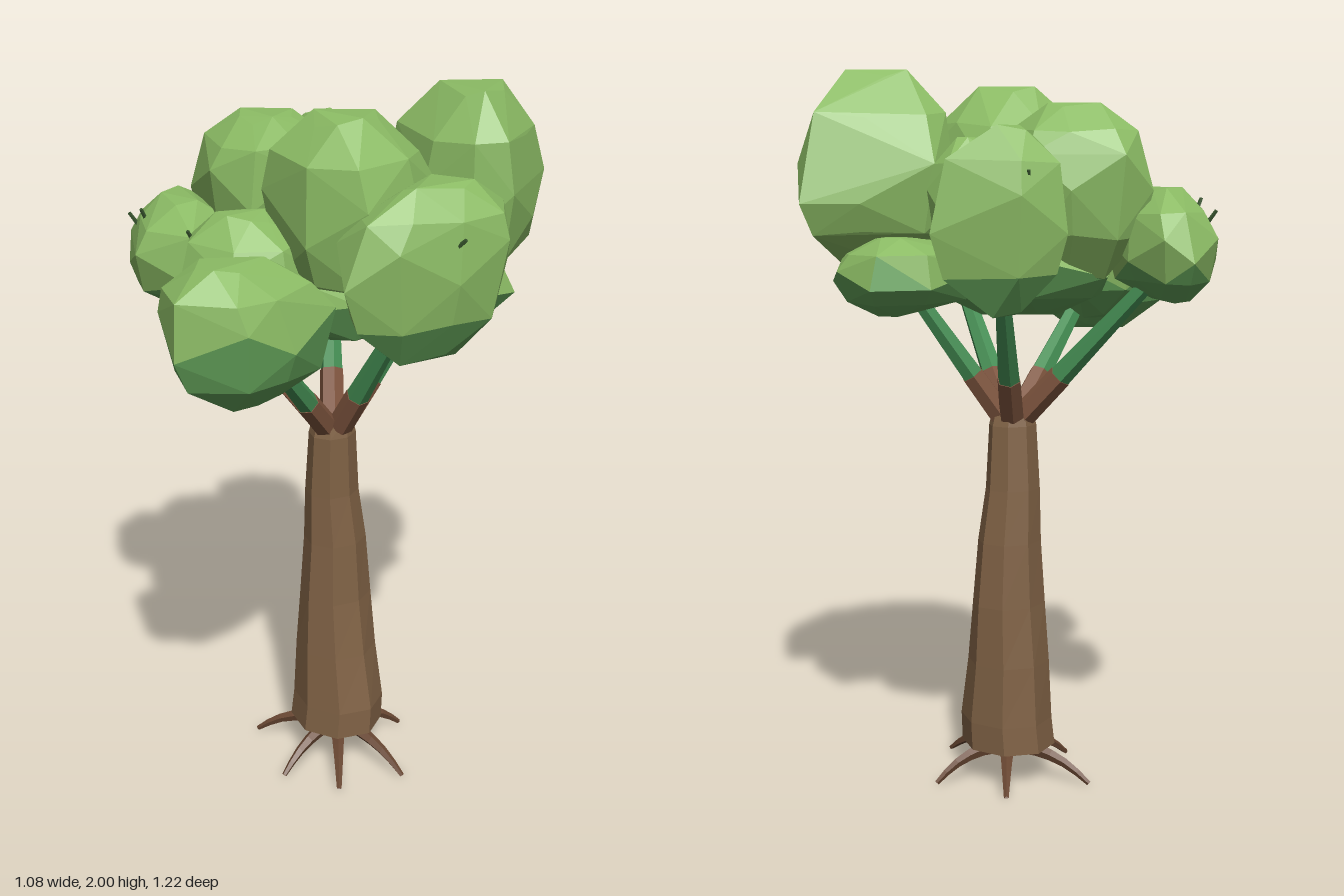
import * as THREE from 'three';
import { ConvexGeometry } from 'three/addons/geometries/ConvexGeometry.js';

const mat = (color) => new THREE.MeshStandardMaterial({ color, flatShading: true, side: THREE.DoubleSide });
const V = (x, y, z) => new THREE.Vector3(x, y, z);

export function createModel() {
  const tree = new THREE.Group();
  tree.name = 'tree';
  const bark = mat(0x806245), collarBark = mat(0x80563f), rootBark = mat(0x6a4833), stem = mat(0x458f54);
  const leafTop = mat(0x8bbb64), leafLow = mat(0x64a35a), twigMat = mat(0x36522c);

  const group = (name) => {
    const g = new THREE.Group();
    g.name = name;
    tree.add(g);
    return g;
  };
  const add = (parent, name, geometry, material) => {
    const mesh = new THREE.Mesh(geometry, material);
    mesh.name = name;
    parent.add(mesh);
    return mesh;
  };

  // Tapered straight limb between two points
  const limb = (parent, name, a, b, ra, rb, material, sides = 6) => {
    const d = b.clone().sub(a);
    const mesh = add(parent, name, new THREE.CylinderGeometry(rb, ra, d.length(), sides), material);
    mesh.position.copy(a).addScaledVector(d, 0.5);
    mesh.quaternion.setFromUnitVectors(V(0, 1, 0), d.normalize());
  };

  // Trunk: rings of [y, centre x, centre z, radius x, radius z]
  const rings = [
    [0.1, 0.035, -0.045, 0.142, 0.128], [0.18, 0.038, -0.05, 0.139, 0.125],
    [0.35, 0.027, -0.05, 0.118, 0.115], [0.52, 0.022, -0.052, 0.098, 0.107],
    [0.7, 0.021, -0.05, 0.086, 0.092], [0.85, 0.017, -0.041, 0.072, 0.08],
    [1.03, 0.022, -0.037, 0.062, 0.07], [1.08, 0.022, -0.037, 0.052, 0.056],
  ];
  const trunk = new THREE.CylinderGeometry(1, 1, 1, 8, rings.length - 1);
  const tp = trunk.attributes.position;
  for (let i = 0; i < tp.count; i++) {
    const level = Math.round((tp.getY(i) + 0.5) * (rings.length - 1));
    const [y, cx, cz, rx, rz] = rings[level];
    tp.setXYZ(i, cx + tp.getX(i) * rx, y, cz + tp.getZ(i) * rz);
  }
  add(tree, 'trunk', trunk, bark);

  // Roots: drooping tapered arcs ending on the ground
  const roots = group('roots');
  const rootTips = [[0.3, -0.06], [0.22, 0.12], [0.06, 0.19], [-0.18, 0.08], [-0.12, -0.17], [0.09, -0.26]];
  for (const [x, z] of rootTips) {
    const at = (t, y) => V(0.04 + (x - 0.04) * t, y, -0.045 + (z + 0.045) * t);
    const curve = new THREE.CatmullRomCurve3([at(0, 0.09), at(0.4, 0.082), at(0.75, 0.05), at(1, 0.004)]);
    const steps = 6, around = 5;
    const g = new THREE.TubeGeometry(curve, steps, 0.026, around);
    const p = g.attributes.position, v = V(0, 0, 0);
    for (let i = 0; i < p.count; i++) {
      const t = Math.floor(i / (around + 1)) / steps;
      v.fromBufferAttribute(p, i).lerp(curve.getPointAt(t), t * 0.72);
      p.setXYZ(i, v.x, Math.max(v.y, 0), v.z);
    }
    add(roots, 'root', g, rootBark);
  }

  // Branches: brown collar at the trunk, green stem up into the leaves
  const branches = group('branches');
  const branchTips = [
    [-0.34, 1.46, 0.17], [0.12, 1.42, 0.33], [0.31, 1.45, -0.02], [0.14, 1.47, -0.34], [-0.21, 1.46, -0.25],
  ];
  for (const tip of branchTips) {
    const end = V(...tip);
    const out = V(end.x - 0.022, 0, end.z + 0.037).normalize();
    const start = V(0.022, 1.06, -0.037).addScaledVector(out, 0.035);
    const joint = start.clone().lerp(end, 0.28);
    limb(branches, 'branchCollar', start, joint, 0.036, 0.034, collarBark);
    limb(branches, 'branchStem', joint, end, 0.032, 0.02, stem);
  }

  // Leaf clump: a faceted hull of rings shrinking above and below its widest outline.
  // heights = [bottom, widest, top], crown = [x, z] the top leans towards
  const canopy = group('canopy');
  const clump = (heights, crown, outline) => {
    const [low, mid, high] = heights;
    const n = outline.length;
    const base = [0, 1].map((a) => outline.reduce((sum, q) => sum + q[a], 0) / n);
    const points = outline.map(([x, z], i) => V(x, mid + (i % 2 ? 0.1 : -0.1) * (high - low), z));
    for (const [end, goal] of [[low, base], [high, crown]]) {
      for (const [scale, rise, blend] of [[0.83, 0.62, 0], [0.42, 1, 0.5]]) {
        outline.forEach(([x, z], i) => {
          const [x2, z2] = outline[(i + 1) % n];
          const px = x + (x2 - x) * blend, pz = z + (z2 - z) * blend;
          const cx = base[0] + (goal[0] - base[0]) * rise, cz = base[1] + (goal[1] - base[1]) * rise;
          const wobble = 1 - 0.06 * rise * (i % 3);
          points.push(V(cx + (px - base[0]) * scale, mid + (end - mid) * rise * wobble, cz + (pz - base[1]) * scale));
        });
      }
    }
    // Faces low in the crown take the deeper green
    const p = new ConvexGeometry(points).attributes.position;
    const parts = { leafClump: [], leafUnderside: [] };
    for (let i = 0; i < p.count; i += 3) {
      const y = (p.getY(i) + p.getY(i + 1) + p.getY(i + 2)) / 3;
      parts[y < 1.47 ? 'leafUnderside' : 'leafClump'].push(...p.array.slice(i * 3, i * 3 + 9));
    }
    for (const [name, data] of Object.entries(parts)) {
      if (!data.length) continue;
      const part = new THREE.BufferGeometry();
      part.setAttribute('position', new THREE.Float32BufferAttribute(data, 3));
      part.computeVertexNormals();
      add(canopy, name, part, name === 'leafClump' ? leafTop : leafLow);
    }
  };
  // Tall back clump and central clump
  clump([1.48, 1.7, 2], [0.26, -0.32],
    [[0.19, -0.61], [0.33, -0.53], [0.38, -0.43], [0.455, -0.26], [0.38, -0.19], [0.24, -0.155], [0.02, -0.22], [0, -0.31], [0.1, -0.48]]);
  clump([1.42, 1.7, 1.96], [0.14, 0.03],
    [[0.35, -0.05], [0.33, 0.14], [0.18, 0.21], [-0.03, 0.17], [-0.06, 0], [0, -0.16], [0.15, -0.19], [0.28, -0.17]]);
  // Left side clump
  clump([1.36, 1.63, 1.82], [0.4, -0.03],
    [[0.45, -0.25], [0.54, -0.15], [0.515, 0], [0.45, 0.15], [0.36, 0.25], [0.26, 0.18], [0.2, 0], [0.28, -0.2]]);
  // Right upper and right back clumps
  clump([1.45, 1.73, 1.91], [-0.18, 0.02],
    [[-0.05, -0.13], [-0.22, -0.17], [-0.31, -0.1], [-0.385, 0.02], [-0.38, 0.12], [-0.2, 0.2], [-0.06, 0.18], [-0.03, 0.02]]);
  clump([1.37, 1.63, 1.85], [-0.27, -0.27],
    [[-0.22, -0.48], [-0.4, -0.33], [-0.42, -0.2], [-0.28, -0.13], [-0.16, -0.2], [-0.13, -0.36]]);
  // Low back clump
  clump([1.35, 1.45, 1.56], [0.1, -0.36],
    [[-0.02, -0.53], [0.14, -0.53], [0.34, -0.42], [0.4, -0.25], [0.2, -0.15], [-0.05, -0.2], [-0.08, -0.38]]);
  // Low front, right front and middle front clumps
  clump([1.27, 1.47, 1.65], [0.13, 0.42],
    [[0.14, 0.61], [0.28, 0.49], [0.295, 0.35], [0.26, 0.18], [0.14, 0.14], [0.02, 0.28], [-0.03, 0.39], [-0.02, 0.53]]);
  clump([1.39, 1.53, 1.69], [-0.33, 0.2],
    [[-0.54, 0.12], [-0.49, 0.06], [-0.36, 0.05], [-0.18, 0.12], [-0.13, 0.33], [-0.3, 0.38], [-0.42, 0.31], [-0.5, 0.24]]);
  clump([1.32, 1.52, 1.7], [-0.05, 0.22],
    [[-0.12, 0.39], [0.05, 0.35], [0.13, 0.22], [0.1, 0.1], [-0.1, 0.08], [-0.2, 0.2], [-0.19, 0.32]]);
  // Filler clumps at the back and core
  clump([1.45, 1.65, 1.82], [-0.08, -0.24],
    [[-0.14, -0.38], [-0.05, -0.37], [0, -0.3], [0.01, -0.12], [-0.1, -0.08], [-0.21, -0.17], [-0.18, -0.3]]);
  clump([1.34, 1.48, 1.6], [0.03, 0],
    [[0.3, -0.12], [0.3, 0.13], [0.1, 0.22], [-0.15, 0.2], [-0.28, 0.05], [-0.22, -0.16], [0, -0.26], [0.18, -0.24]]);

  // Tiny twigs poking out of the leaves
  const twigs = [
    [[-0.41, 1.57, 0.26], [-0.44, 1.63, 0.29]], [[-0.36, 1.6, 0.28], [-0.36, 1.66, 0.31]],
    [[0.49, 1.67, 0], [0.52, 1.7, -0.01]], [[0.18, 1.56, 0.48], [0.185, 1.59, 0.53]],
    [[-0.37, 1.68, -0.29], [-0.39, 1.74, -0.3]], [[-0.14, 1.6, 0.3], [-0.14, 1.65, 0.33]],
  ];
  for (const [a, b] of twigs) limb(canopy, 'twig', V(...a), V(...b), 0.007, 0.005, twigMat, 5);

  return tree;
}
